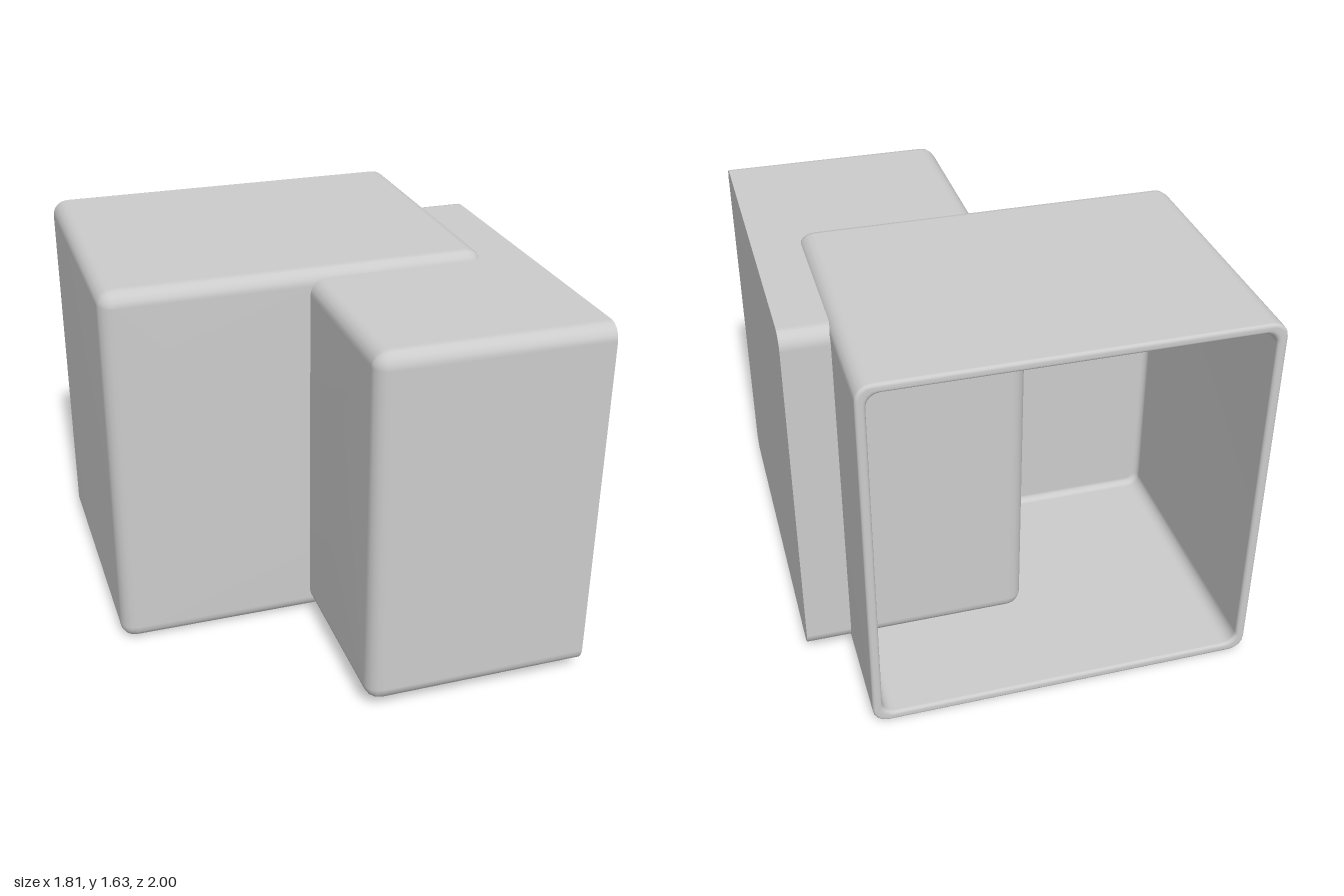
import * as THREE from 'three';

const material = new THREE.MeshStandardMaterial({ color: 0xcccccc });
const SEG = 4; // segments per rounded edge
const R = 0.065; // edge rounding

// Points of a rounded rectangle, counterclockwise seen from +z
function ring(w, h, r) {
  const points = [];
  for (let c = 0; c < 4; c++) {
    const sx = c === 0 || c === 3 ? 1 : -1;
    const sy = c < 2 ? 1 : -1;
    for (let k = 0; k <= SEG; k++) {
      const a = (c + k / SEG) * Math.PI / 2;
      points.push([sx * (w / 2 - r) + r * Math.cos(a), sy * (h / 2 - r) + r * Math.sin(a)]);
    }
  }
  return points;
}

// Skin a strip of sections { z, inset, r }; a section marked "center" closes a face
function loft(w, h, sections) {
  const position = [], index = [];
  const n = 4 * (SEG + 1);
  sections.forEach(({ z, inset = 0, r = R, center }, i) => {
    for (const [x, y] of ring(w - 2 * inset, h - 2 * inset, r)) {
      position.push(center ? 0 : x, center ? 0 : y, z);
    }
    if (i === 0) return;
    for (let j = 0; j < n; j++) {
      const a = (i - 1) * n + j, b = (i - 1) * n + (j + 1) % n;
      index.push(a, a + n, b, b, a + n, b + n);
    }
  });
  const geometry = new THREE.BufferGeometry();
  geometry.setAttribute('position', new THREE.Float32BufferAttribute(position, 3));
  geometry.setIndex(index);
  geometry.computeVertexNormals();
  return geometry;
}

// Closed end with a rounded edge, facing +z at the given depth
function roundedEnd(depth) {
  const sections = [{ z: depth, center: true }];
  for (let k = 0; k <= SEG; k++) {
    const a = k / SEG * Math.PI / 2;
    const inset = R * (1 - Math.sin(a));
    sections.push({ z: depth - R * (1 - Math.cos(a)), inset, r: Math.max(R - inset, 0.001) });
  }
  return sections;
}

function addMesh(parent, name, geometry) {
  const mesh = new THREE.Mesh(geometry, material);
  mesh.name = name;
  parent.add(mesh);
}

export function createModel() {
  const model = new THREE.Group();
  model.name = 'interlockingBoxes';

  // Hollow box, open at the back, with a softly rounded rim
  const shell = new THREE.Group();
  shell.name = 'openBox';
  shell.position.set(-0.095, 0.815, -1);
  const depth = 1.22, wall = 0.04, lip = 0.014, innerR = 0.055;
  const sections = roundedEnd(depth);
  for (let k = 0; k <= SEG; k++) {
    const a = k / SEG * Math.PI / 2;
    const inset = lip * (1 - Math.cos(a));
    sections.push({ z: lip * (1 - Math.sin(a)), inset, r: R - inset });
  }
  for (let k = 0; k <= SEG; k++) {
    const a = k / SEG * Math.PI / 2;
    sections.push({ z: lip * (1 - Math.cos(a)), inset: wall - lip * (1 - Math.sin(a)), r: innerR });
  }
  // Inside walls and the inner face of the front
  for (let k = 0; k <= SEG; k++) {
    const a = k / SEG * Math.PI / 2;
    const step = 0.03 * (1 - Math.cos(a));
    sections.push({ z: depth - wall - 0.03 * (1 - Math.sin(a)), inset: wall + step, r: innerR - step });
  }
  sections.push({ z: depth - wall, center: true });
  addMesh(shell, 'openBoxShell', loft(1.62, 1.63, sections));
  model.add(shell);

  // Solid box pushed through the corner, rounded towards -x and cut flat at +x
  const block = new THREE.Group();
  block.name = 'sideBox';
  block.position.set(0.905, 0.82, 0.225);
  block.rotation.y = -Math.PI / 2;
  addMesh(block, 'sideBoxBody', loft(1.55, 1.55, [...roundedEnd(0.955), { z: 0 }]));
  addMesh(block, 'sideBoxFlatFace', loft(1.55, 1.55, [{ z: 0 }, { z: 0, center: true }]));
  model.add(block);

  return model;
}
